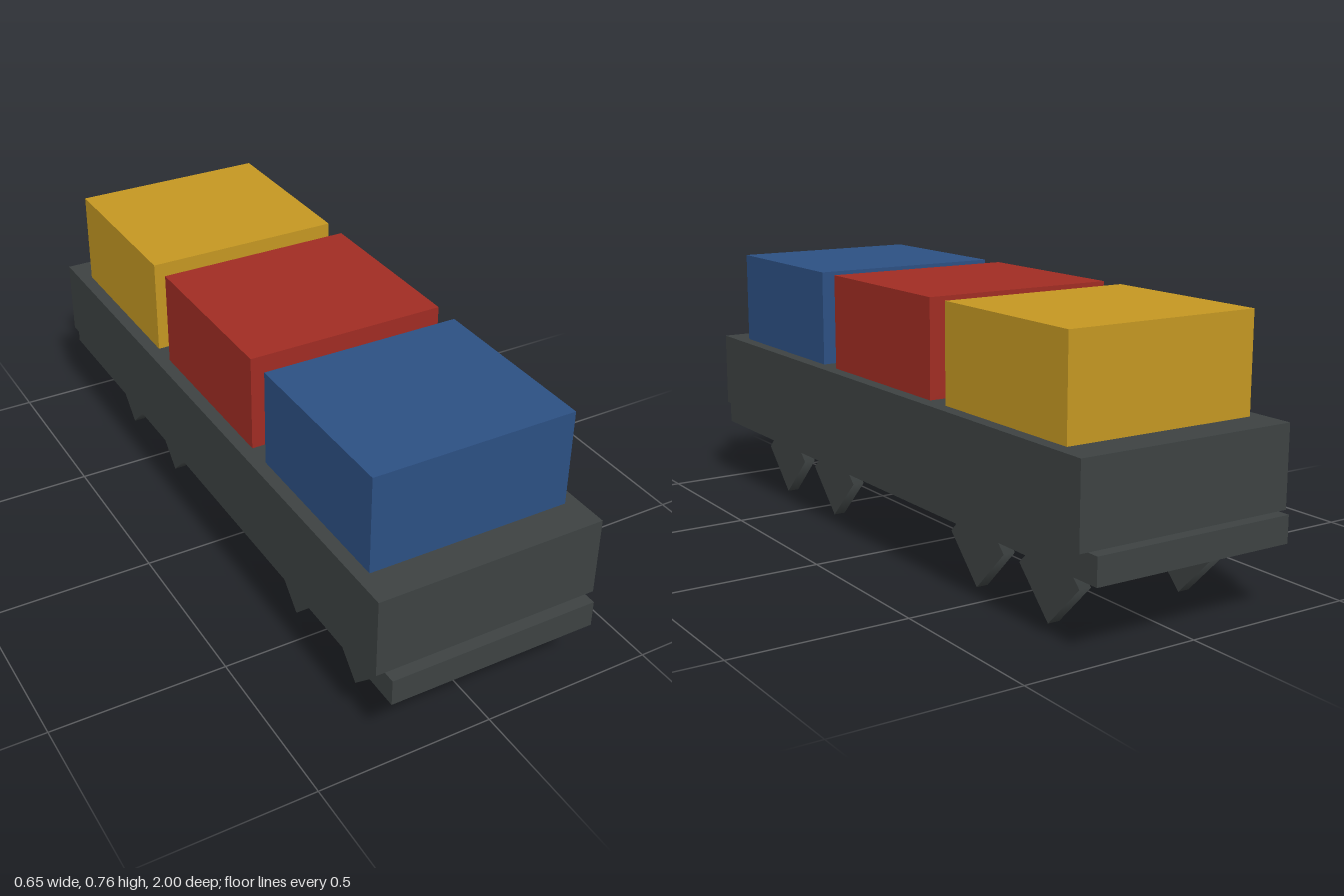
import * as THREE from 'three';

const material = (name, color) => {
  const m = new THREE.MeshStandardMaterial({ color });
  m.name = name;
  return m;
};

export function createModel() {
  const charcoal = material('charcoal', 0x3d4242);
  const blue = material('blue', 0x2c5083);
  const red = material('red', 0xa02c23);
  const yellow = material('yellow', 0xc49722);

  const model = new THREE.Group();
  model.name = 'cargoWagon';

  const add = (name, geometry, mat, x, y, z) => {
    const mesh = new THREE.Mesh(geometry, mat);
    mesh.name = name;
    mesh.position.set(x, y, z);
    model.add(mesh);
  };

  // Box spanning y0 to y1, centred on x
  const addBox = (name, mat, width, y0, y1, depth, z = 0) =>
    add(name, new THREE.BoxGeometry(width, y1 - y0, depth), mat, 0, (y0 + y1) / 2, z);

  // Underframe and wagon bed
  addBox('underframe', charcoal, 0.6, 0.19, 0.265, 2);
  addBox('wagonBed', charcoal, 0.65, 0.265, 0.49, 1.93);

  // Three cargo crates, front to back
  [['frontCrate', blue, 0.6], ['middleCrate', red, 0], ['rearCrate', yellow, -0.6]]
    .forEach(([name, mat, z]) => addBox(name, mat, 0.575, 0.49, 0.765, 0.525, z));

  // Four-sided wheels in two pairs per side, standing on their corners
  const wheel = new THREE.CylinderGeometry(0.125, 0.125, 0.035, 4).rotateZ(Math.PI / 2);
  for (const side of [1, -1]) {
    for (const z of [0.72, 0.4, -0.4, -0.72]) {
      add(side > 0 ? 'leftWheel' : 'rightWheel', wheel, charcoal, side * 0.2125, 0.125, z);
    }
  }

  return model;
}
